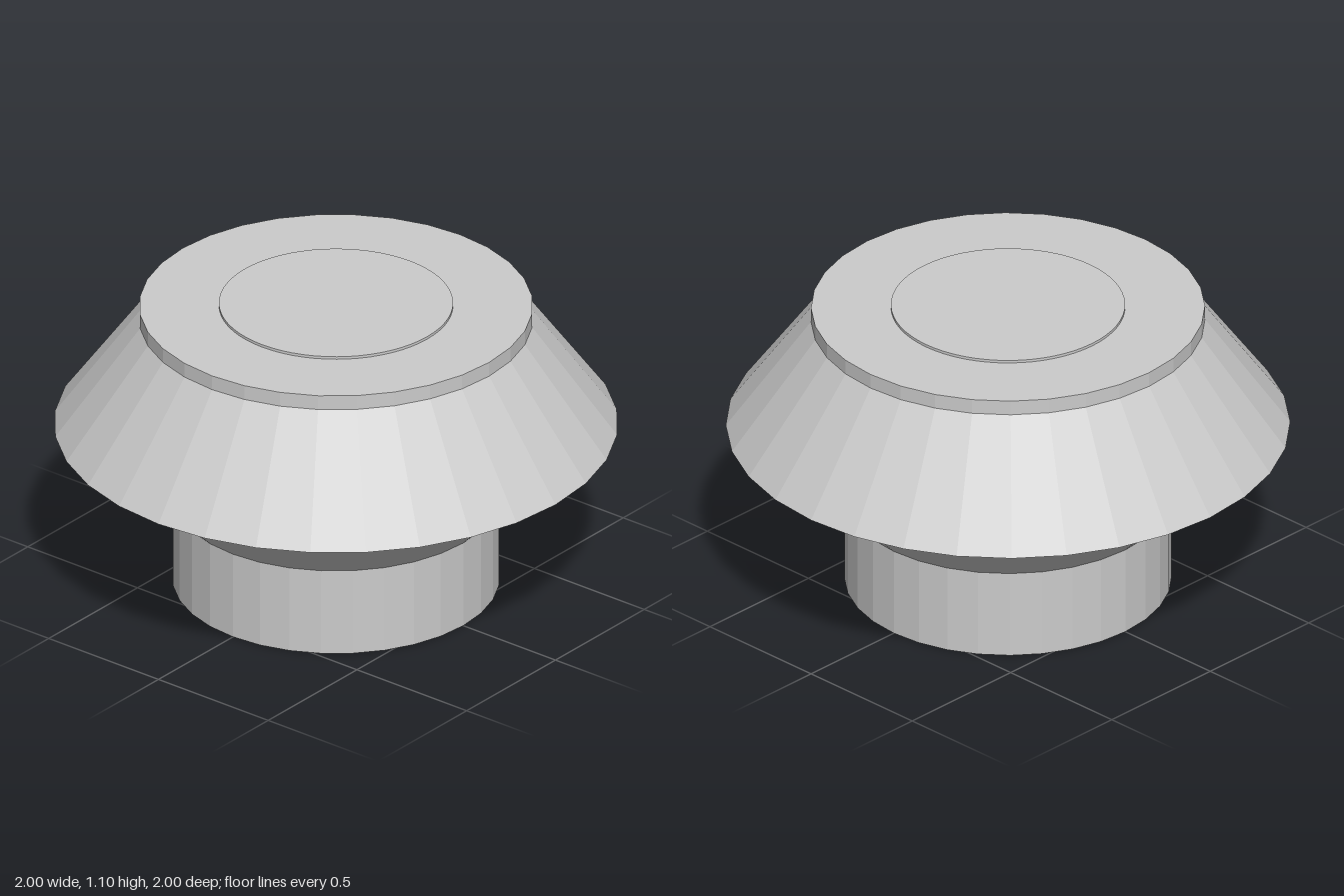
import * as THREE from 'three';

const material = new THREE.MeshStandardMaterial({ color: 0xcccccc, flatShading: true });

// Closed round section between two heights
function section(name, rBottom, rTop, y0, y1, sides = 32) {
  const geometry = new THREE.CylinderGeometry(rTop, rBottom, y1 - y0, sides);
  geometry.translate(0, (y0 + y1) / 2, 0);
  const mesh = new THREE.Mesh(geometry, material);
  mesh.name = name;
  return mesh;
}

export function createModel() {
  const model = new THREE.Group();
  model.name = 'roundVent';
  model.add(
    // Lower half: straight neck and flared collar
    section('neck', 0.58, 0.58, 0, 0.33),
    section('flaredCollar', 0.58, 0.83, 0.33, 0.58),
    // Upper half: sloped hood hovering over an open gap, with its lid
    section('hood', 1, 0.698, 0.62, 1.035),
    section('lid', 0.698, 0.698, 1.035, 1.09),
    section('topDisc', 0.415, 0.415, 1.09, 1.1, 64),
  );
  return model;
}
